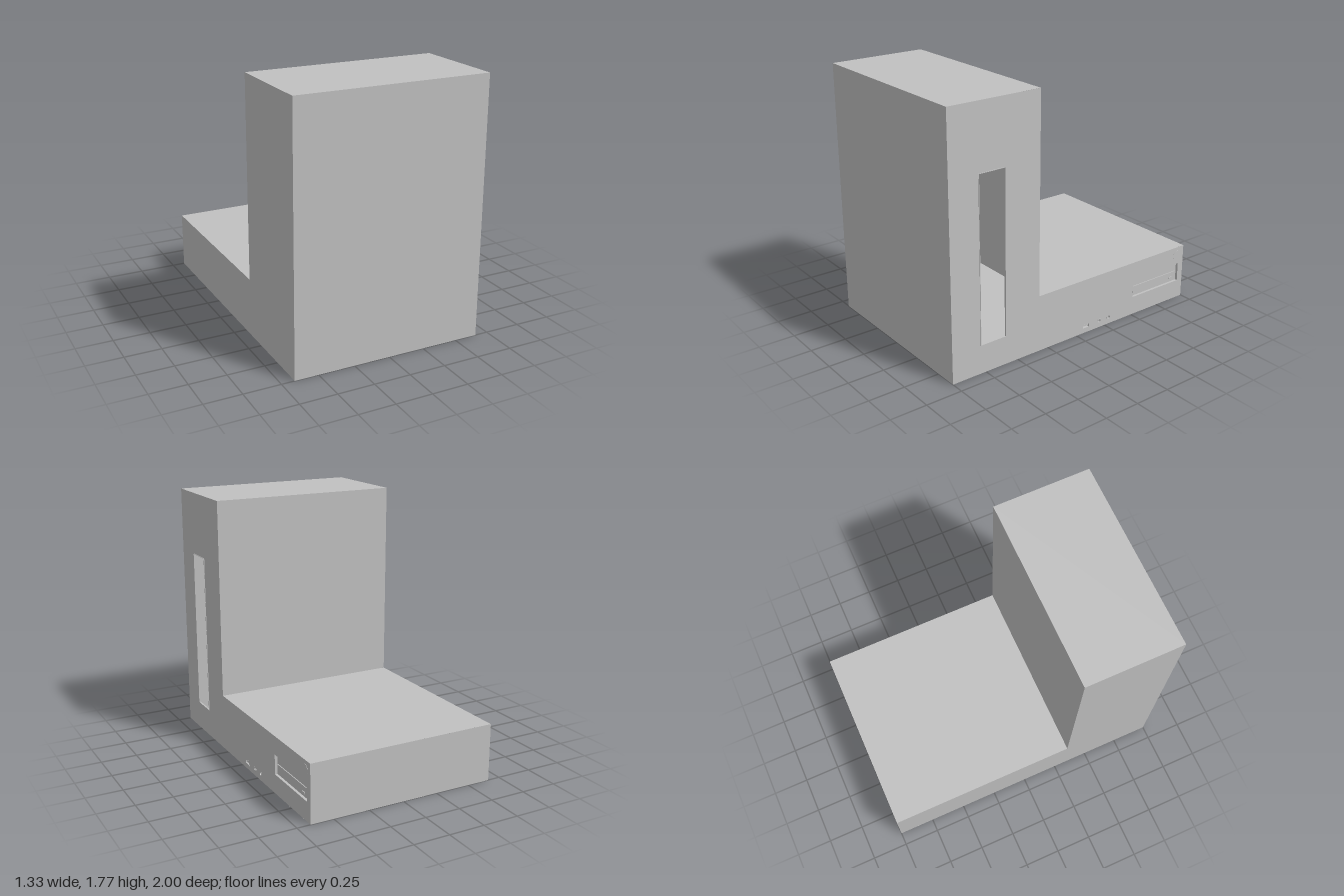
import * as THREE from 'three';

const L = -0.662, R = 0.659;          // side planes of the shell
const TOP = 1.765, STEP_Y = 0.395, STEP_Z = 0.325;

export function createModel() {
  const group = new THREE.Group();
  group.name = 'steppedCase';
  const grey = new THREE.MeshStandardMaterial({ color: 0xc0c0c0, side: THREE.DoubleSide });
  grey.name = 'case grey';

  const add = (name, geometry, x = 0, y = 0, z = 0) => {
    const mesh = new THREE.Mesh(geometry, grey);
    mesh.name = name;
    mesh.position.set(x, y, z);
    group.add(mesh);
    return mesh;
  };

  // Outlines are drawn as (z, y) and turned to lie in the side plane
  const outline = (points) => new THREE.Shape(points.map(([z, y]) => new THREE.Vector2(z, y)));
  const rect = (z0, z1, y0, y1) => [[z0, y0], [z1, y0], [z1, y1], [z0, y1]];
  const circle = (z, y, r, n = 24) => Array.from({ length: n }, (_, i) => {
    const a = i / n * Math.PI * 2;
    return [z + r * Math.cos(a), y + r * Math.sin(a)];
  });
  const sidePanel = (points, holes = []) => {
    const shape = outline(points);
    shape.holes = holes.map(outline);
    return new THREE.ShapeGeometry(shape).rotateY(-Math.PI / 2);
  };
  const sideSolid = (points, depth, holes = []) => {
    const shape = outline(points);
    shape.holes = holes.map(outline);
    return new THREE.ExtrudeGeometry(shape, { depth, bevelEnabled: false }).rotateY(-Math.PI / 2);
  };

  // Hollow L-shaped shell with openings in its left side
  const profile = [[-1, 0], [1, 0], [1, TOP], [STEP_Z, TOP], [STEP_Z, STEP_Y], [-1, STEP_Y]];
  const slot = rect(0.595, 0.785, 0.2, 1.325);
  const drive = rect(-0.955, -0.51, 0.13, 0.27);
  const usb = rect(-0.115, -0.052, 0.03, 0.064);
  const jacks = [-0.203, -0.291].map((z) => circle(z, 0.047, 0.019));
  add('plainSide', sidePanel(profile), L);
  add('detailedSide', sidePanel(profile, [slot, drive, usb, ...jacks]), R);
  const wallNames = ['bottom', 'frontWall', 'towerTop', 'towerBack', 'baseTop', 'baseBack'];
  profile.forEach(([z0, y0], i) => {
    const [z1, y1] = profile[(i + 1) % profile.length];
    const wall = new THREE.PlaneGeometry(R - L, Math.hypot(z1 - z0, y1 - y0));
    // Face outwards: the profile runs anticlockwise in (z, y)
    wall.lookAt(new THREE.Vector3(0, z0 - z1, y1 - y0));
    add(wallNames[i], wall, (L + R) / 2, (y0 + y1) / 2, (z0 + z1) / 2);
  });

  // Thin raised rim around the open slot
  add('slotRim', sideSolid(rect(0.592, 0.788, 0.197, 1.328), 0.012, [slot]), R + 0.004);

  // Recessed disc drive: frame, tray front and eject button
  add('driveFrame', sideSolid(drive, 0.02, [rect(-0.953, -0.512, 0.132, 0.268)]), R);
  add('driveFace', sidePanel(drive), R - 0.018);
  add('driveTray', sideSolid(rect(-0.94, -0.525, 0.145, 0.205), 0.006), R - 0.012);
  add('ejectButton', sideSolid(rect(-0.91, -0.875, 0.159, 0.171), 0.008), R - 0.006);

  // Power button
  add('powerButton', sideSolid(circle(-0.935, 0.335, 0.033, 32), 0.004), R + 0.002);

  // Port sockets: rim, recessed floor and inner contact
  add('usbRim', sideSolid(usb, 0.02, [rect(-0.109, -0.058, 0.036, 0.058)]), R + 0.001);
  add('usbFloor', sidePanel(usb), R - 0.018);
  add('usbTongue', sideSolid(rect(-0.104, -0.063, 0.047, 0.054), 0.014), R - 0.004);
  [-0.203, -0.291].forEach((z) => {
    add('jackRim', sideSolid(circle(z, 0.047, 0.019), 0.02, [circle(z, 0.047, 0.011)]), R + 0.001);
    add('jackFloor', sidePanel(circle(z, 0.047, 0.019)), R - 0.018);
  });
  return group;
}
